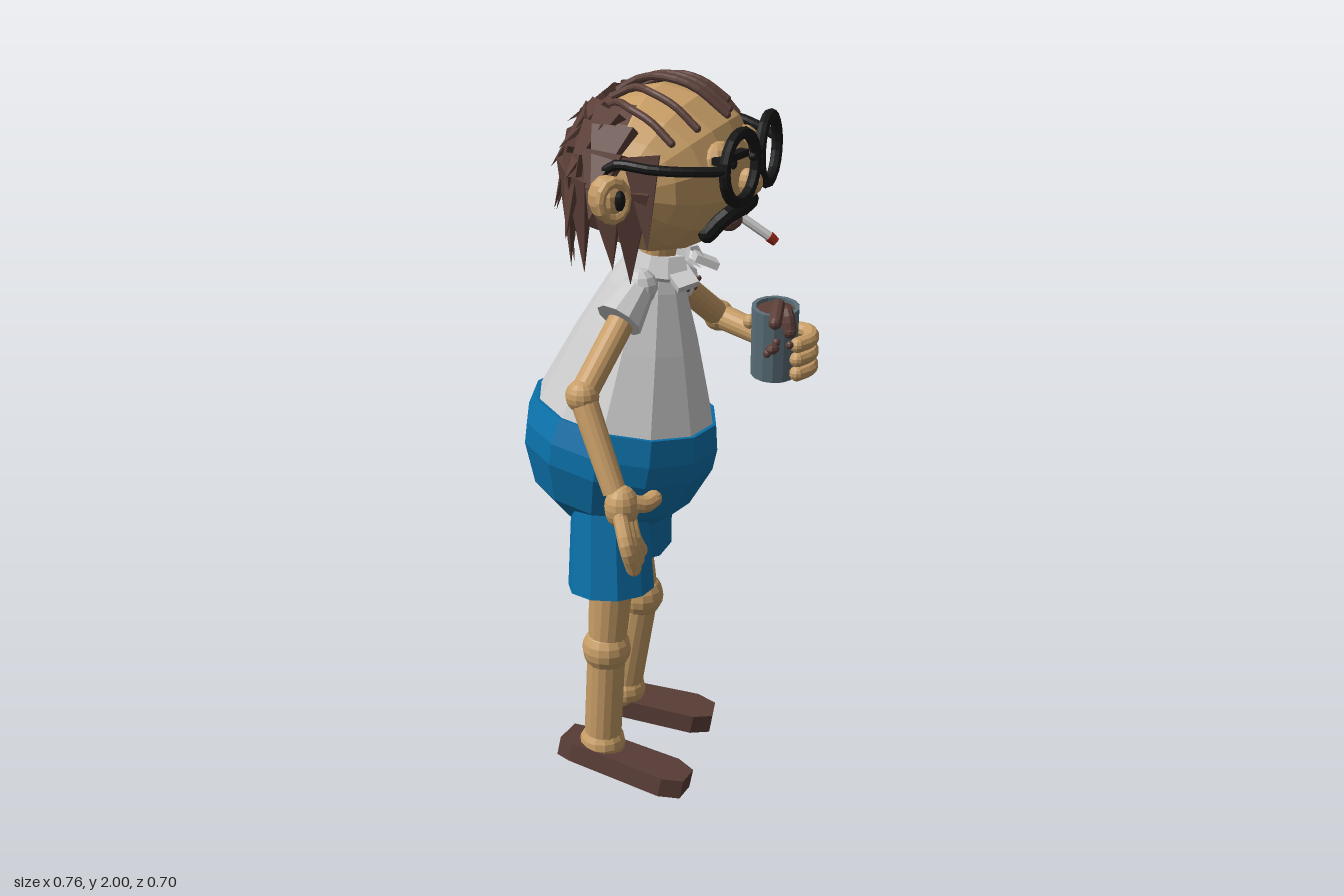
import * as THREE from 'three';

const SKIN = 0xc79d66, BROWN = 0x5c3f38, BLACK = 0x161616, BLUE = 0x0b72ab, GREY = 0xcccccc;
const V = (p) => new THREE.Vector3(...p);
const mats = {};
const mat = (color) => (mats[color] ??= new THREE.MeshStandardMaterial({ color, flatShading: true, side: THREE.DoubleSide }));

function add(parent, name, geometry, color, pos = [0, 0, 0], scale = [1, 1, 1], rot = [0, 0, 0]) {
  const m = new THREE.Mesh(geometry, mat(color));
  m.name = name;
  m.position.set(...pos);
  m.scale.set(...scale);
  m.rotation.set(...rot);
  parent.add(m);
  return m;
}

// Faceted ball
const ball = (parent, name, color, pos, scale, seg = 14) =>
  add(parent, name, new THREE.SphereGeometry(1, seg, Math.round(seg * 0.7)), color, pos, typeof scale === 'number' ? [scale, scale, scale] : scale);

// Tapered cylinder from point a to point b
function limb(parent, name, color, a, b, ra, rb = ra, seg = 16) {
  const p = V(a), d = V(b).sub(p);
  const m = add(parent, name, new THREE.CylinderGeometry(rb, ra, d.length(), seg), color);
  m.position.copy(p).addScaledVector(d, 0.5);
  m.quaternion.setFromUnitVectors(new THREE.Vector3(0, 1, 0), d.normalize());
}

// Round-ended tube through points
function rope(parent, name, color, pts, r, n = 10) {
  const curve = new THREE.CatmullRomCurve3(pts.map(V));
  add(parent, name, new THREE.TubeGeometry(curve, n, r, 10), color);
  for (const p of [pts[0], pts[pts.length - 1]]) ball(parent, name + 'End', color, p, r, 10);
}

const lathe = (pts, seg = 12, start = 0, len = Math.PI * 2) =>
  new THREE.LatheGeometry(pts.map((p) => new THREE.Vector2(...p)), seg, start, len);

function makeTorso(root) {
  const g = new THREE.Group();
  g.name = 'torso';
  g.position.set(-0.045, 0.99, -0.092);
  g.rotation.set(0.14, 0, -0.09);
  root.add(g);
  add(g, 'shortsSeat', lathe([[0, -0.25], [0.125, -0.222], [0.22, -0.135], [0.265, -0.02], [0.268, 0.04], [0.252, 0.11], [0.235, 0.11]]), BLUE);
  add(g, 'shirt', lathe([[0.235, 0.06], [0.242, 0.11], [0.168, 0.31], [0.105, 0.46], [0.06, 0.54], [0, 0.545]]), GREY);
  // Open collar with two front flaps
  const c = new THREE.Group();
  c.name = 'collar';
  c.position.set(0.03, 1.495, 0.005);
  c.rotation.set(0.1, 0.3, 0.08);
  root.add(c);
  add(c, 'collarBand', lathe([[0.06, 0], [0.065, 0.045], [0.085, 0.05], [0.11, 0], [0.095, -0.015], [0.06, 0]], 10, 0.5, Math.PI * 2 - 1), GREY);
  for (const s of [-1, 1])
    add(c, 'collarFlap', new THREE.BoxGeometry(0.06, 0.02, 0.065), GREY, [s * 0.068, 0, 0.085], [1, 1, 1], [0.45, s * 0.5, -s * 0.4]);
  for (let i = 0; i < 5; i++) {
    const x = -0.02 + i * 0.014, y = 1.465 - (i % 2) * 0.02;
    rope(root, 'chestHair', BROWN, [[x, y, 0.095], [x + 0.012, y + 0.01, 0.115], [x + 0.022, y - 0.005, 0.1]], 0.004, 4);
  }
  limb(root, 'neck', SKIN, [-0.005, 1.48, 0], [-0.005, 1.62, 0.03], 0.048);
}

// Hip, knee and ankle are points on one leg; the shoe turns by yaw
function makeLeg(root, side, hip, cuff, knee, ankle, shoe, yaw, roll) {
  limb(root, side + 'ShortsLeg', BLUE, cuff, hip, 0.119, 0.1, 10);
  limb(root, side + 'Thigh', SKIN, knee, cuff, 0.052, 0.06);
  ball(root, side + 'Knee', SKIN, knee, 0.068);
  limb(root, side + 'Shin', SKIN, ankle, knee, 0.052, 0.053);
  ball(root, side + 'Ankle', SKIN, ankle, [0.065, 0.06, 0.065]);
  const outline = [[-0.05, -0.19], [0.05, -0.19], [0.062, -0.15], [0.07, 0.13], [0.04, 0.185], [-0.04, 0.185], [-0.07, 0.13], [-0.062, -0.15]];
  const s = new THREE.Shape(outline.map((p) => new THREE.Vector2(...p)));
  const geo = new THREE.ExtrudeGeometry(s, { depth: 0.055, bevelEnabled: false }).rotateX(Math.PI / 2).translate(0, 0.0275, 0);
  add(root, side + 'Shoe', geo, BROWN, shoe).rotation.set(0.17, yaw, roll, 'YXZ');
}

function makeArm(root, side, shoulder, cuff, elbow, wrist) {
  limb(root, side + 'Sleeve', GREY, shoulder, cuff, 0.042, 0.064, 10);
  ball(root, side + 'Shoulder', GREY, shoulder, 0.048, 10);
  limb(root, side + 'UpperArm', SKIN, shoulder, elbow, 0.036);
  ball(root, side + 'Elbow', SKIN, elbow, 0.044);
  limb(root, side + 'Forearm', SKIN, elbow, wrist, 0.036, 0.031);
}

function makeHands(root) {
  // Relaxed right hand
  ball(root, 'rightPalm', SKIN, [-0.31, 0.955, 0.18], [0.047, 0.058, 0.044]);
  rope(root, 'rightThumb', SKIN, [[-0.3, 0.97, 0.19], [-0.26, 0.955, 0.21], [-0.225, 0.96, 0.21]], 0.023, 6);
  for (let i = 0; i < 3; i++) {
    const x = -0.345 + i * 0.03, z = 0.2 - i * 0.018;
    rope(root, 'rightFinger', SKIN, [[x + 0.01, 0.94, z], [x - 0.012, 0.875, z + 0.045], [x + 0.012, 0.81 + i * 0.01, z + 0.045]], 0.02, 8);
  }
  // Left hand wrapped round the can
  ball(root, 'leftPalm', SKIN, [0.345, 1.235, 0.16], [0.037, 0.055, 0.05]);
  for (let i = 0; i < 3; i++) {
    const y = 1.278 - i * 0.04;
    rope(root, 'leftFinger', SKIN, [[0.35, y, 0.17], [0.357, y, 0.23], [0.318, y - 0.005, 0.268], [0.265, y - 0.008, 0.268]], 0.021, 10);
  }
  rope(root, 'leftThumb', SKIN, [[0.34, 1.27, 0.13], [0.31, 1.295, 0.103], [0.26, 1.3, 0.103]], 0.02, 8);
}

function makeCan(root) {
  const g = new THREE.Group();
  g.name = 'can';
  g.position.set(0.27, 1.265, 0.183);
  g.rotation.set(0.1, 0, 0.1);
  root.add(g);
  add(g, 'canBody', lathe([[0, -0.1], [0.063, -0.1], [0.065, 0.1], [0.053, 0.1], [0.052, 0.08]], 14), 0x5b6f79);
  add(g, 'drink', new THREE.CylinderGeometry(0.053, 0.053, 0.01, 14), BROWN, [0, 0.085, 0]);
  rope(root, 'splash', BROWN, [[0.275, 1.35, 0.19], [0.245, 1.375, 0.215], [0.21, 1.365, 0.24], [0.18, 1.35, 0.26]], 0.018, 8);
  rope(root, 'splashLip', BROWN, [[0.275, 1.355, 0.21], [0.24, 1.355, 0.25], [0.235, 1.315, 0.265]], 0.019, 8);
  ball(root, 'splashBlob', BROWN, [0.16, 1.285, 0.27], [0.022, 0.014, 0.016], 8);
  for (const p of [[0.145, 1.275, 0.265], [0.175, 1.3, 0.27], [0.205, 1.29, 0.29]]) ball(root, 'drop', BROWN, p, 0.011, 8);
}

const RX = 0.275, RY = 0.212, RZ = 0.23; // skull half sizes
const skullTop = (x, z) => RY * Math.sqrt(Math.max(0, 1 - (x / RX) ** 2 - (z / RZ) ** 2));

function makeHair(head) {
  let seed = 7;
  const rnd = () => ((seed = (seed * 16807) % 2147483647) / 2147483647);
  add(head, 'hairCap', new THREE.SphereGeometry(1, 12, 6, Math.PI, Math.PI, 0.55, 1.55), BROWN, [0, 0, 0], [RX * 1.04, RY * 1.05, RZ * 1.05]);
  // Rows of broad pointed locks round the back of the skull: polar angle, count, length, half span
  const lock = new THREE.ConeGeometry(0.07, 1, 4).rotateX(Math.PI).rotateY(Math.PI / 4).scale(1, 1, 0.3);
  const rows = [[0.7, 6, 0.15, 1.15], [1.0, 8, 0.17, 1.45], [1.3, 10, 0.2, 1.85], [1.6, 12, 0.24, 1.8]];
  for (const [theta, n, len, span] of rows) {
    for (let i = 0; i < n; i++) {
      const a = ((i + 0.3 * rnd()) / (n - 0.7) * 2 - 1) * span, t = theta + (rnd() - 0.5) * 0.18;
      const p = V([Math.sin(a) * Math.sin(t) * RX, Math.cos(t) * RY, -Math.cos(a) * Math.sin(t) * RZ]);
      const out = V([p.x / RX ** 2, p.y / RY ** 2, p.z / RZ ** 2]).normalize();
      const up = V([(rnd() - 0.5) * 0.6, 1, 0]);
      up.addScaledVector(out, -up.dot(out) * (0.8 + 0.3 * rnd())).normalize();
      const side = new THREE.Vector3().crossVectors(up, out).normalize();
      const m = add(head, 'hairLock', lock, BROWN);
      const l = len * (0.8 + 0.35 * rnd());
      m.quaternion.setFromRotationMatrix(new THREE.Matrix4().makeBasis(side, up, side.clone().cross(up)));
      m.scale.set(0.8 + rnd() * 0.5, l, 1);
      m.position.copy(p).addScaledVector(out, 0.008).addScaledVector(up, -l * 0.36);
    }
  }
  // Thin strands combed over the bald crown: back x, z then front x, z
  const strands = [[-0.131, -0.122, -0.195, 0.11], [-0.075, -0.102, -0.123, 0.147], [-0.004, -0.15, 0.006, 0.173], [0.049, -0.12, 0.041, 0.164], [0.106, -0.1, 0.118, 0.128], [0.174, -0.054, 0.194, 0.124]];
  for (const [x0, z0, x1, z1] of strands) {
    const pts = [0, 0.25, 0.5, 0.75, 1].map((t, i) => {
      const x = x0 + (x1 - x0) * t + [0, 0.012, -0.008, -0.008, 0][i], z = z0 + (z1 - z0) * t;
      return [x, skullTop(x, z) + 0.006 + 0.012 * Math.sin(Math.PI * t), z];
    });
    rope(head, 'combedStrand', BROWN, pts, 0.01, 12);
  }
}

function makeHead(root) {
  const h = new THREE.Group();
  h.name = 'head';
  h.position.set(-0.015, 1.765, 0.04);
  h.rotation.set(0, 0.35, 0.04, 'YXZ');
  root.add(h);
  // Facet bands run from ear to ear
  add(h, 'skull', new THREE.SphereGeometry(1, 14, 10).rotateZ(Math.PI / 2), SKIN, [0, 0, 0], [RX, RY, RZ]);
  ball(h, 'nose', SKIN, [-0.01, -0.015, 0.24], [0.029, 0.036, 0.035], 10);
  for (const s of [-1, 1]) {
    ball(h, 'ear', SKIN, [s * 0.315, 0, -0.01], [0.042, 0.058, 0.046], 10);
    add(h, 'earRim', new THREE.TorusGeometry(0.036, 0.013, 8, 12), SKIN, [s * 0.328, 0, 0.015], [1, 1.25, 1], [0, s * 0.6, 0]);
    ball(h, 'earHole', BLACK, [s * 0.325, 0, 0.03], [0.018, 0.026, 0.014], 8);
    // Half-closed eye under a heavy lid
    ball(h, 'eye', SKIN, [s * 0.085, 0.05, 0.185], [0.058, 0.052, 0.042], 12);
    add(h, 'lidLine', new THREE.BoxGeometry(0.12, 0.018, 0.026), BLACK, [s * 0.088, 0.066, 0.22], [1, 1, 1], [0, s * 0.24, 0]);
    ball(h, 'pupil', BLACK, [s * 0.08, 0.048, 0.224], [0.015, 0.015, 0.01], 8);
    // Glasses
    add(h, 'lensRim', new THREE.TorusGeometry(0.083, 0.015, 8, 20), BLACK, [s * 0.096, 0.045, 0.25], [1, 1.03, 1], [0, s * 0.1, 0]);
    rope(h, 'temple', BLACK, [[s * 0.178, 0.055, 0.243], [s * 0.24, 0.062, 0.165], [s * 0.278, 0.07, 0.09], [s * 0.285, 0.075, 0], [s * 0.28, 0.045, -0.04]], 0.013, 12);
  }
  rope(h, 'glassesBridge', BLACK, [[-0.024, 0.055, 0.255], [0, 0.068, 0.264], [0.024, 0.055, 0.255]], 0.012, 6);
  // Drooping moustache, mouth and cigarette
  rope(h, 'moustache', BLACK, [[-0.105, -0.13, 0.165], [-0.085, -0.09, 0.2], [0, -0.076, 0.225], [0.085, -0.09, 0.2], [0.105, -0.13, 0.165]], 0.024, 14);
  ball(h, 'mouth', BROWN, [0, -0.125, 0.19], [0.055, 0.022, 0.022], 10);
  limb(h, 'cigarette', 0xdddddd, [0.03, -0.12, 0.2], [0.053, -0.172, 0.27], 0.012, 0.012, 8);
  limb(h, 'cigaretteTip', 0xa02a1c, [0.053, -0.172, 0.27], [0.06, -0.187, 0.285], 0.015, 0.012, 8);
  makeHair(h);
}

export function createModel() {
  const root = new THREE.Group();
  root.name = 'man';
  makeTorso(root);
  makeLeg(root, 'right', [-0.14, 0.92, -0.04], [-0.155, 0.61, -0.02], [-0.165, 0.42, -0.03], [-0.165, 0.115, -0.05], [-0.145, 0.069, 0.025], 0.38, -0.1);
  makeLeg(root, 'left', [0.05, 0.92, -0.12], [0.083, 0.63, -0.182], [0.11, 0.44, -0.17], [0.09, 0.12, -0.22], [0.15, 0.06, -0.162], 0.64, 0);
  makeArm(root, 'right', [-0.09, 1.46, 0.03], [-0.172, 1.388, 0.035], [-0.31, 1.22, 0.04], [-0.315, 0.99, 0.16]);
  makeArm(root, 'left', [0.075, 1.455, -0.045], [0.14, 1.405, -0.055], [0.325, 1.265, -0.07], [0.35, 1.225, 0.14]);
  makeHands(root);
  makeCan(root);
  makeHead(root);
  return root;
}
